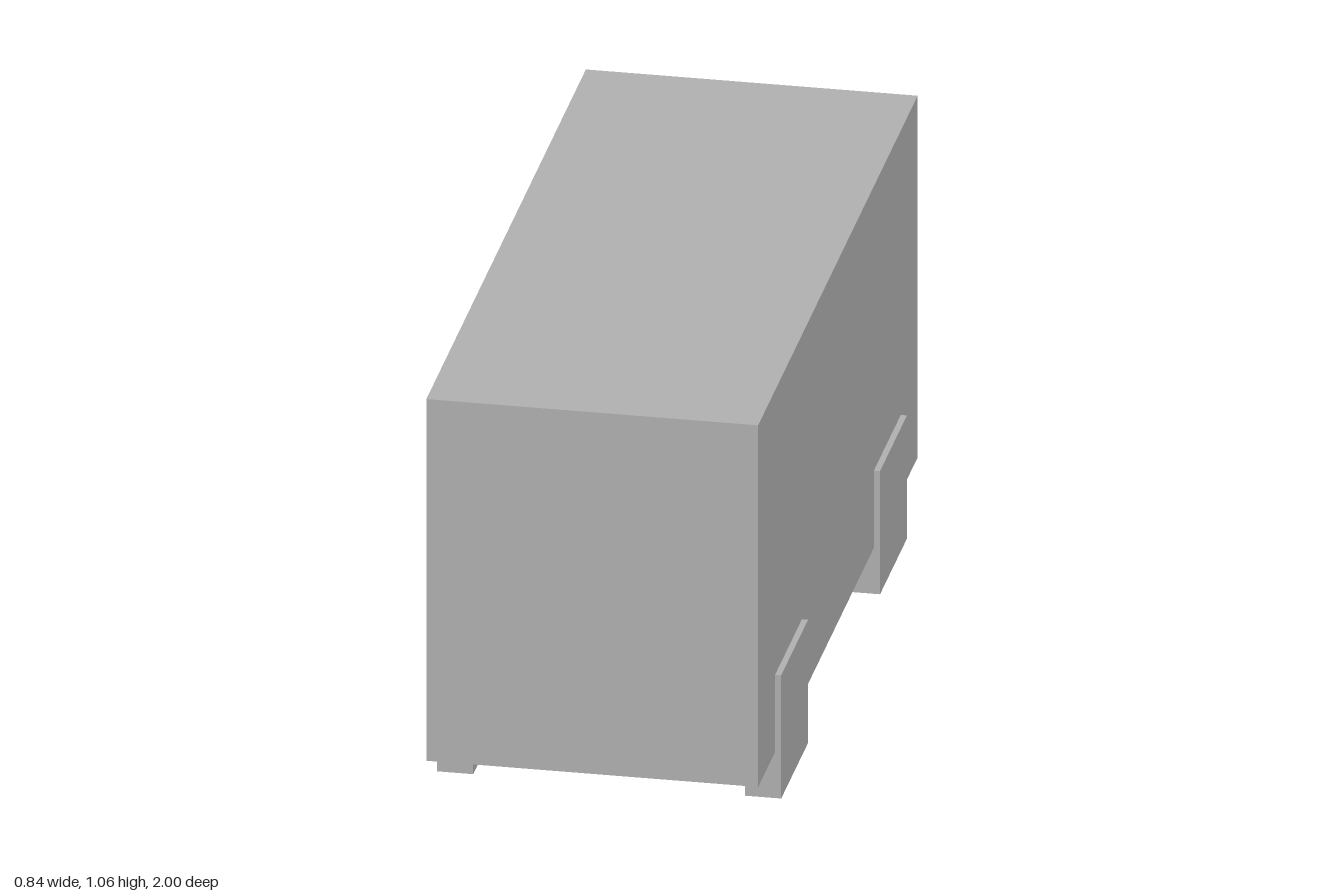
import * as THREE from 'three';

// Box with its underside left open
function openBox(w, h, d) {
  const geometry = new THREE.BoxGeometry(w, h, d);
  const index = Array.from(geometry.index.array);
  index.splice(18, 6); // drop the -y face
  geometry.setIndex(index);
  geometry.clearGroups();
  return geometry;
}

export function createModel() {
  const group = new THREE.Group();
  const grey = new THREE.MeshStandardMaterial({ color: 0xb2b2b2, side: THREE.DoubleSide });
  grey.name = 'plain grey';

  const add = (name, geometry, x, y, z) => {
    const mesh = new THREE.Mesh(geometry, grey);
    mesh.name = name;
    mesh.position.set(x, y, z);
    group.add(mesh);
    return mesh;
  };

  // Hollow body shell, open below
  const bodyZ = 0.0075;
  add('body', openBox(0.808, 0.945, 1.985), 0, 0.5925, bodyZ);

  // Four square wheels, also open below
  for (const [side, sx] of [['left', 1], ['right', -1]]) {
    for (const [end, sz] of [['front', 1], ['back', -1]]) {
      add(`${end} ${side} wheel`, openBox(0.088, 0.322, 0.335),
        sx * 0.375, 0.161, bodyZ + sz * 0.615);
    }
  }

  // Rear window panel, just clear of the back wall
  add('rear window', new THREE.PlaneGeometry(0.69, 0.33), 0, 0.793, -1).rotation.y = Math.PI;

  return group;
}
